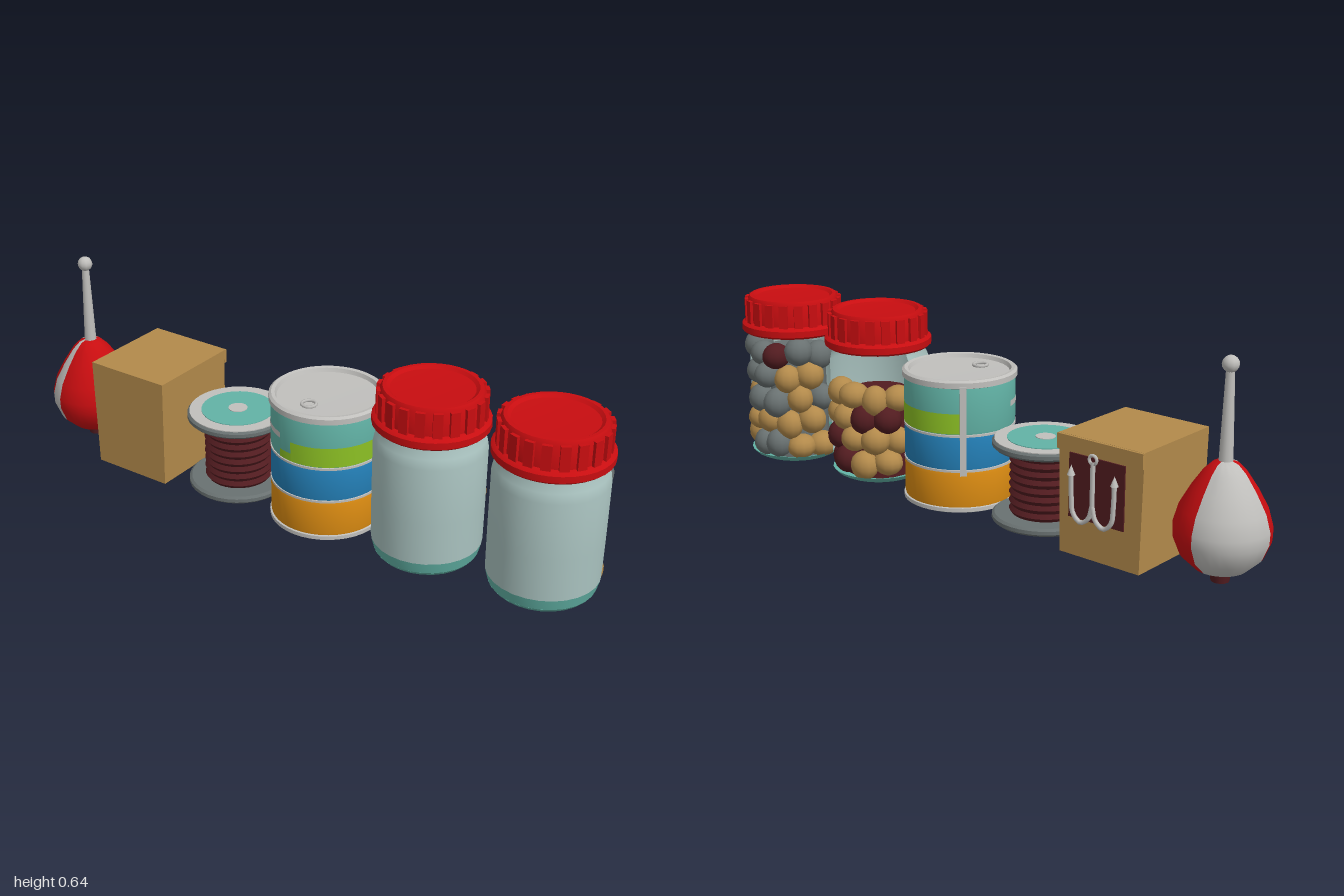
import * as THREE from 'three';
import { toCreasedNormals } from 'three/addons/utils/BufferGeometryUtils.js';

const mat = (name, color, side = THREE.FrontSide) => {
  const m = new THREE.MeshStandardMaterial({ color, side });
  m.name = name;
  return m;
};
const TAU = Math.PI * 2;
const rad = THREE.MathUtils.degToRad;

export function createModel() {
  const red = mat('red', 0xc80d10), glass = mat('paleGlass', 0xa9c2bf, THREE.DoubleSide);
  const teal = mat('teal', 0x62b3a6, THREE.DoubleSide), blue = mat('blue', 0x2480b8);
  const orange = mat('orange', 0xdc8c12), lime = mat('lime', 0x8cc024, THREE.DoubleSide);
  const tan = mat('tan', 0xb38a4b), maroon = mat('maroon', 0x521c20);
  const grey = mat('grey', 0x697171), silver = mat('silver', 0xc0bfbc);

  const model = new THREE.Group();
  const group = (name, x, z, parent = model) => {
    const g = new THREE.Group();
    g.name = name;
    g.position.set(x, 0, z);
    parent.add(g);
    return g;
  };
  const add = (parent, name, geo, material, x = 0, y = 0, z = 0) => {
    const m = new THREE.Mesh(geo, material);
    m.name = name;
    m.position.set(x, y, z);
    parent.add(m);
    return m;
  };
  // Turned profile, bottom to top; angles in degrees measured from the front towards +x
  const lathe = (pts, from = 0, to = 360, seg = 32) => toCreasedNormals(
    new THREE.LatheGeometry(pts.map(p => new THREE.Vector2(...p)),
      Math.max(3, Math.round(seg * (to - from) / 360)), rad(from), rad(to - from)), 0.6);
  let seed = 7;
  const rnd = () => (seed = (seed * 16807) % 2147483647) / 2147483647;

  // Fishing float
  const bobber = group('bobber', -0.865, 0);
  const bodyProfile = [[0.028, 0.022], [0.075, 0.042], [0.115, 0.08], [0.135, 0.13], [0.136, 0.165],
    [0.122, 0.215], [0.092, 0.27], [0.06, 0.318], [0.036, 0.342], [0.015, 0.35]];
  [[-14, 175, red], [175, 280, silver], [280, 322, red], [322, 346, silver]].forEach(([a, b, m]) =>
    add(bobber, 'floatPanel', lathe(bodyProfile, a, b), m));
  add(bobber, 'floatTip', new THREE.CylinderGeometry(0.03, 0.026, 0.03, 12), maroon, 0, 0.015, 0);
  add(bobber, 'stem', new THREE.CylinderGeometry(0.012, 0.02, 0.26, 12), silver, 0, 0.47, 0);
  add(bobber, 'stemBall', new THREE.SphereGeometry(0.024, 10, 8), silver, 0, 0.616, 0);

  // Bait box with an opening on the back and a hook hung in front of it
  const box = group('baitBox', -0.56, 0.005);
  const carton = new THREE.BoxGeometry(0.29, 0.355, 0.315);
  const cp = carton.attributes.position;
  for (let i = 0; i < cp.count; i++) if (cp.getY(i) < 0) cp.setX(i, cp.getX(i) * 0.95);
  carton.computeVertexNormals();
  add(box, 'carton', carton, tan, 0, 0.1925, 0.003);
  add(box, 'cartonFlap', new THREE.BoxGeometry(0.292, 0.045, 0.012), tan, 0, 0.347, -0.157);
  add(box, 'cartonOpening', new THREE.BoxGeometry(0.19, 0.19, 0.006), maroon, 0.01, 0.225, -0.156);
  const hook = group('trebleHook', 0.005, -0.183, box);
  const tube = (name, pts) => add(hook, name, new THREE.TubeGeometry(
    new THREE.CatmullRomCurve3(pts.map(p => new THREE.Vector3(...p))), 20, 0.007, 6), silver);
  tube('shank', [[0, 0.32, 0], [0, 0.25, 0], [0, 0.16, 0]]);
  for (const s of [-1, 1]) {
    tube('prong', [[0, 0.19, 0], [s * 0.012, 0.15, 0], [s * 0.04, 0.132, 0],
      [s * 0.066, 0.155, 0], [s * 0.072, 0.2, 0], [s * 0.074, 0.27, 0]]);
    add(hook, 'barb', new THREE.ConeGeometry(0.012, 0.03, 6), silver, s * 0.074, 0.28, 0);
  }
  add(hook, 'hookEye', new THREE.TorusGeometry(0.013, 0.005, 6, 12), silver, 0, 0.325, 0);

  // Line spool
  const spool = group('spool', -0.24, 0.01);
  for (const y of [0.0325, 0.2625]) {
    add(spool, 'flange', lathe([[0, -0.0125], [0.152, -0.0125], [0.16, -0.005], [0.16, 0.006],
      [0.152, 0.0125], [0, 0.0125]]), grey, 0, y, 0);
  }
  const disc = (parent, name, r, m, y) =>
    add(parent, name, new THREE.CylinderGeometry(r, r, 0.003, 32), m, 0, y, 0);
  disc(spool, 'flangeTop', 0.153, silver, 0.2755);
  disc(spool, 'spoolLabel', 0.115, teal, 0.2775);
  disc(spool, 'spoolHub', 0.03, silver, 0.2795);
  const wound = [];
  for (let i = 0; i <= 16; i++) wound.push([i % 2 ? 0.108 : 0.099, 0.043 + i * 0.013]);
  add(spool, 'woundLine', lathe(wound), maroon);

  // Painted can
  const can = group('can', 0.097, 0.005);
  [['lowerBand', 0.03, 0.15, orange], ['middleBand', 0.15, 0.262, blue], ['upperBand', 0.262, 0.42, teal]]
    .forEach(([name, a, b, m]) => add(can, name,
      lathe([[0.169, a], [0.172, a + 0.012], [0.172, b - 0.012], [0.169, b]], 0, 360, 40), m));
  const rim = (y, h, r) => add(can, 'canRim', lathe([[0.16, y - h], [r, y - h * 0.6], [r, y + h * 0.6],
    [0.16, y + h]], 0, 360, 40), silver);
  rim(0.152, 0.006, 0.1735);
  rim(0.263, 0.006, 0.1735);
  rim(0.028, 0.01, 0.176);
  add(can, 'canLid', lathe([[0.165, 0.408], [0.178, 0.413], [0.178, 0.43], [0.17, 0.436],
    [0.159, 0.434], [0.154, 0.422], [0, 0.42]], 0, 360, 40), silver);
  add(can, 'canBase', new THREE.CylinderGeometry(0.17, 0.168, 0.008, 40), grey, 0, 0.022, 0);
  add(can, 'limePatch', lathe([[0.1735, 0.27], [0.1735, 0.333]], -5, 225, 40), lime);
  add(can, 'limePatchEnd', lathe([[0.1733, 0.27], [0.1733, 0.295]], -20, -5, 40), lime);
  add(can, 'wornPaint', lathe([[0.1735, 0.33], [0.1735, 0.348]], -75, -20, 40), silver);
  const seam = add(can, 'canSeam', new THREE.BoxGeometry(0.02, 0.28, 0.016), silver, -0.124, 0.28, -0.124);
  seam.rotation.y = rad(45);
  const tab = add(can, 'pullTab', new THREE.TorusGeometry(0.022, 0.005, 6, 14), silver, -0.01, 0.425, 0.085);
  tab.rotation.x = Math.PI / 2;

  // Jars, open at the back to show what they hold
  const jar = (name, x, z, from, to, rows, pick, core) => {
    const j = group(name, x, z);
    const wall = [[0.165, 0.07], [0.166, 0.2], [0.166, 0.38], [0.16, 0.41], [0.148, 0.43], [0.148, 0.45]];
    add(j, 'jarWall', lathe(wall, to - 360, from, 28), glass);
    add(j, 'jarBase', lathe([[0, 0.012], [0.125, 0.012], [0.145, 0.022], [0.156, 0.035]], 0, 360, 28), teal);
    add(j, 'jarBaseFront', lathe([[0.156, 0.035], [0.165, 0.07]], to - 360, from, 28), teal);

    // Contents
    const top = rows[rows.length - 1];
    add(j, 'contentsCore', new THREE.CylinderGeometry(0.1, 0.11, top - 0.02, 16), core, 0, top / 2 + 0.01, 0);
    rows.forEach((y, k) => {
      for (let a = from + 8 + (k % 2) * 18; a < to + 8; a += 37) {
        const t = rad(a), r = 0.112 + rnd() * 0.012;
        const ball = add(j, 'bait', new THREE.SphereGeometry(0.046, 12, 9), pick(rnd()),
          Math.sin(t) * r, y + (rnd() - 0.5) * 0.02, Math.cos(t) * r);
        ball.scale.set(0.92 + rnd() * 0.2, 0.9 + rnd() * 0.2, 0.92 + rnd() * 0.2);
      }
    });

    // Ribbed lid
    const lid = group('lid', 0, 0, j);
    add(lid, 'lidShell', lathe([[0, 0.443], [0.164, 0.443], [0.172, 0.45], [0.172, 0.47], [0.163, 0.477],
      [0.152, 0.48], [0.151, 0.55], [0.143, 0.563], [0.132, 0.563], [0.122, 0.555], [0, 0.55]]), red);
    const ribs = 20;
    for (let i = 0; i < ribs; i++) {
      const t = (i / ribs) * TAU;
      const rib = add(lid, 'lidRib', new THREE.BoxGeometry(0.028, 0.078, 0.016), red,
        Math.sin(t) * 0.152, 0.514, Math.cos(t) * 0.152);
      rib.rotation.y = t;
    }
  };
  jar('middleJar', 0.46, 0.015, 118, 262, [0.07, 0.145, 0.22, 0.29],
    v => (v < 0.5 ? tan : maroon), maroon);
  jar('endJar', 0.825, -0.02, 115, 278, [0.07, 0.145, 0.22, 0.3, 0.38],
    v => (v < 0.64 ? grey : v < 0.93 ? tan : maroon), grey);

  return model;
}
